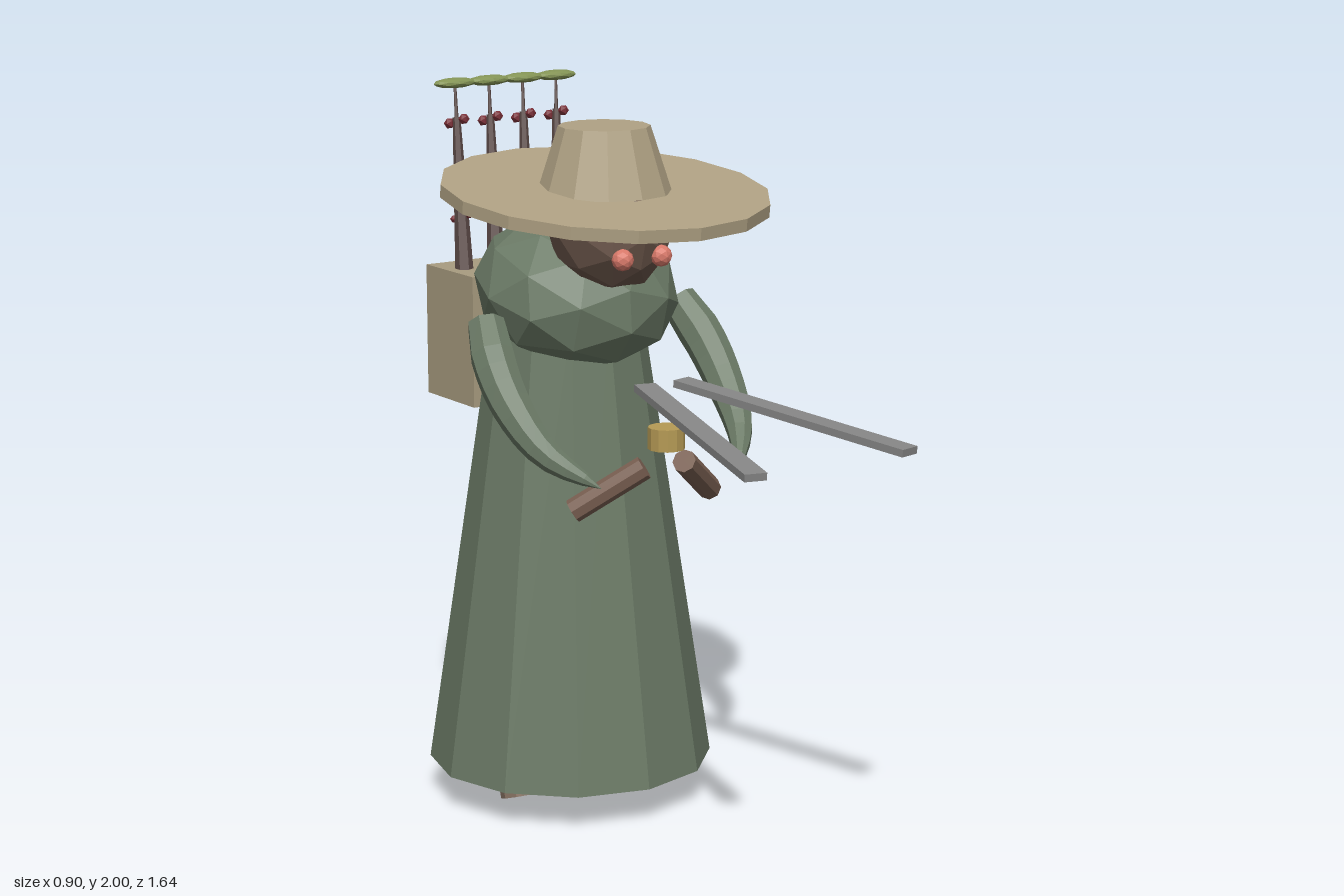
import * as THREE from 'three';

const V = (x, y, z) => new THREE.Vector3(x, y, z);
const mat = (color) => new THREE.MeshStandardMaterial({ color, flatShading: true });
const M = {
  robe: mat(0x6b7a66), tan: mat(0xa89c80), hat: mat(0xb0a284), skin: mat(0x6b564a),
  eye: mat(0xd9796a), wood: mat(0x7a6052), boot: mat(0x8a7565), steel: mat(0x868686),
  gold: mat(0xb59a55), bark: mat(0x5c4a47), berry: mat(0x7a3038), leaf: mat(0x849455),
};

export function createModel() {
  const root = new THREE.Group();

  function add(name, geometry, material, x = 0, y = 0, z = 0, parent = root) {
    const mesh = new THREE.Mesh(geometry, material);
    mesh.name = name;
    mesh.position.set(x, y, z);
    parent.add(mesh);
    return mesh;
  }

  // Tapered rod from a to b
  function rod(name, a, b, ra, rb, sides, material, parent = root) {
    const d = b.clone().sub(a);
    const mid = a.clone().add(b).multiplyScalar(0.5);
    const mesh = add(name, new THREE.CylinderGeometry(rb, ra, d.length(), sides), material, mid.x, mid.y, mid.z, parent);
    mesh.quaternion.setFromUnitVectors(V(0, 1, 0), d.normalize());
    return mesh;
  }

  // Horn-shaped sleeve: a tube whose rings shrink to the tip, flat at the shoulder
  function sleeveGeometry(s) {
    const path = new THREE.CatmullRomCurve3([
      V(0.315 * s, 1.395, -0.32), V(0.342 * s, 1.3, -0.235), V(0.345 * s, 1.2, -0.145),
      V(0.315 * s, 1.09, -0.025), V(0.225 * s, 1.01, 0.105)]);
    const rows = 12, sides = 8;
    const g = new THREE.TubeGeometry(path, rows, 1, sides);
    const p = g.attributes.position, v = V(0, 0, 0);
    for (let i = 0; i <= rows; i++) {
      const t = i / rows;
      const centre = path.getPointAt(t);
      const target = i === 1 ? path.getPointAt(0) : centre;
      const r = i === 0 ? 0 : i === 1 ? 0.052 : (0.053 + 0.05 * t) * Math.pow(1 - t, 0.7) + 0.008 * (1 - t);
      for (let j = 0; j <= sides; j++) {
        const k = i * (sides + 1) + j;
        v.fromBufferAttribute(p, k).sub(centre).multiplyScalar(r).add(target);
        p.setXYZ(k, v.x, v.y, v.z);
      }
    }
    return g;
  }

  // Robe and hunched shoulders
  add('robe', new THREE.CylinderGeometry(0.205, 0.4, 1.3, 12), M.robe, 0, 0.75, -0.4);
  const shoulders = add('shoulders', new THREE.IcosahedronGeometry(0.285, 1), M.robe, 0, 1.455, -0.355);
  shoulders.scale.y = 0.72;
  shoulders.rotation.x = 0.3;

  // Head
  add('head', new THREE.IcosahedronGeometry(0.17, 1), M.skin, 0, 1.64, -0.185);

  // Hat: tilted brim, upright crown
  const brim = add('hatBrim', new THREE.CylinderGeometry(0.45, 0.45, 0.035, 16), M.hat, 0, 1.737, -0.21);
  brim.rotation.x = 0.115;
  add('hatCrown', new THREE.CylinderGeometry(0.125, 0.183, 0.18, 12), M.hat, 0, 1.83, -0.215);

  // Paired parts
  for (const s of [1, -1]) {
    const side = s > 0 ? 'left' : 'right';
    add(side + 'Eye', new THREE.IcosahedronGeometry(0.03, 1), M.eye, 0.062 * s, 1.585, -0.035);
    add(side + 'Sleeve', sleeveGeometry(s), M.robe);
    rod(side + 'Grip', V(0.225 * s, 0.92, -0.035), V(0.065 * s, 1.04, 0.07), 0.033, 0.033, 8, M.wood);

    const blade = add(side + 'Blade', new THREE.BoxGeometry(0.06, 0.02, 0.775), M.steel, 0.15 * s, 1.222, 0.438);
    blade.lookAt(0.242 * s, 1.187, 0.815);

    const foot = V(0.175 * s, 0.028, -0.335);
    rod(side + 'Foot', foot, foot.clone().add(V(0, 0.19, -0.065)), 0.086, 0.086, 12, M.boot);
  }

  // Gold guard between the blades
  add('guard', new THREE.CylinderGeometry(0.05, 0.05, 0.06, 12), M.gold, 0, 1.115, 0.08);

  // Back box with four little trees
  add('backBox', new THREE.BoxGeometry(0.42, 0.37, 0.25), M.tan, 0, 1.29, -0.685);
  for (let i = 0; i < 4; i++) {
    const tree = new THREE.Group();
    tree.name = 'tree' + (i + 1);
    root.add(tree);
    const base = V(-0.157 + 0.105 * i, 1.46, -0.69);
    const top = V(-0.122 + 0.112 * i, 1.985, -0.787);
    const at = (t) => base.clone().lerp(top, t);
    rod('trunk', base, at(0.82), 0.026, 0.011, 6, M.bark, tree);
    rod('twig', at(0.8), top, 0.006, 0.004, 5, M.bark, tree);
    // Berries in pairs at two heights
    for (const [t, r] of [[0.3, 0.012], [0.8, 0.016]]) {
      for (const s of [1, -1]) {
        const c = at(t);
        add('berry', new THREE.IcosahedronGeometry(r, 0), M.berry, c.x + 0.014 * s, c.y + 0.007 * s, c.z + 0.016 * s, tree);
      }
    }
    const leaf = add('canopy', new THREE.IcosahedronGeometry(1, 1), M.leaf, top.x, top.y, top.z, tree);
    leaf.scale.set(0.068, 0.015, 0.03);
  }
  return root;
}
